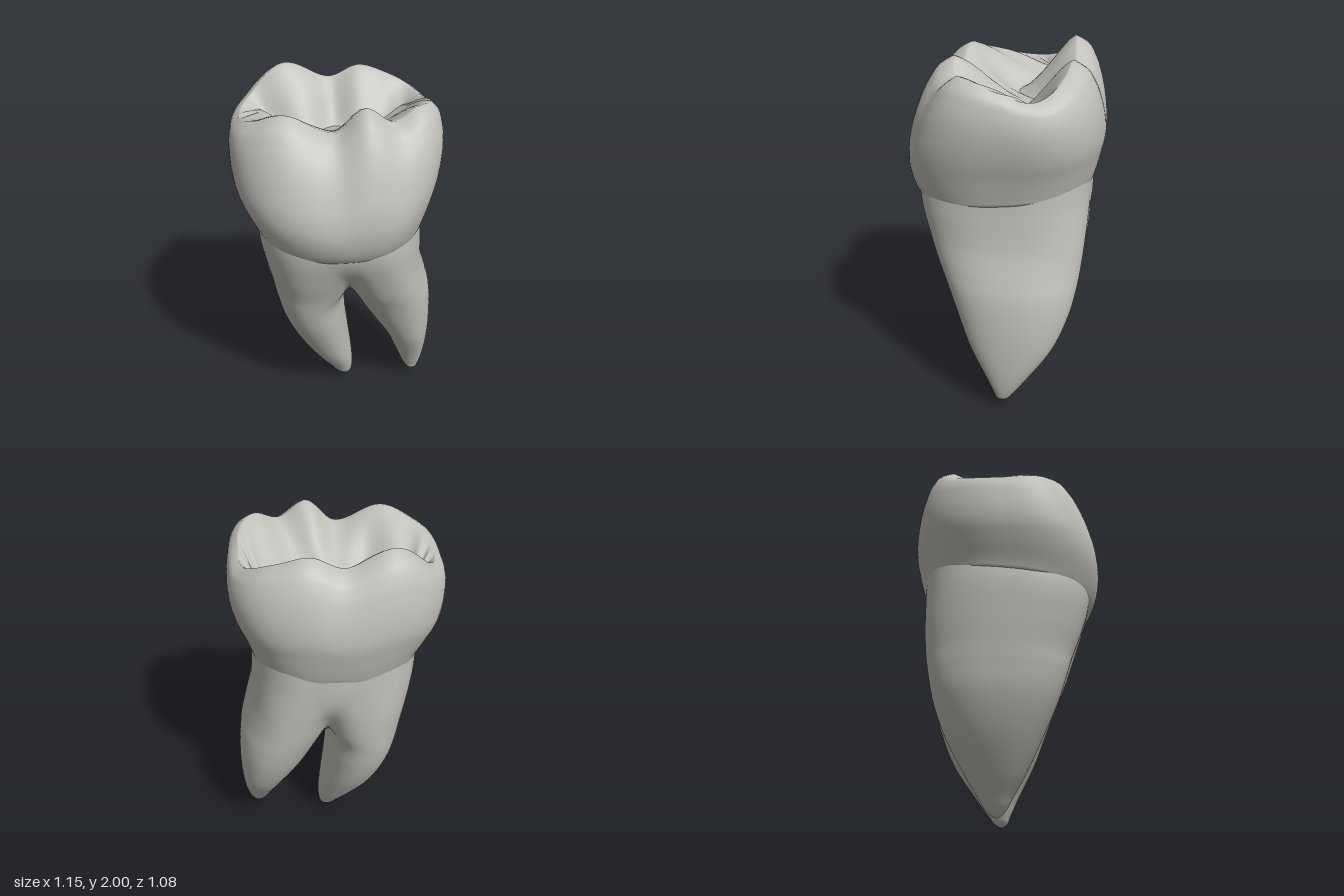
import * as THREE from 'three';

const SIDES = 112;

// Smooth spline through rows of [key, ...values]
function spline(rows) {
  const keys = rows.map((r) => r[0]);
  const values = rows.flatMap((r) => r.slice(1));
  const curve = new THREE.CubicInterpolant(keys, values, rows[0].length - 1);
  return (t) => Array.from(curve.evaluate(t));
}

// Closed rings of points, stacked from the bottom up, joined into one skin
function loft(rings) {
  const index = [];
  for (let j = 0; j < rings.length - 1; j++) {
    for (let i = 0; i < SIDES; i++) {
      const n = (i + 1) % SIDES;
      const a = j * SIDES + i, b = a + SIDES, c = j * SIDES + n, d = c + SIDES;
      index.push(a, b, c, b, d, c);
    }
  }
  const geometry = new THREE.BufferGeometry();
  geometry.setAttribute('position', new THREE.Float32BufferAttribute(rings.flat(2), 3));
  geometry.setIndex(index);
  geometry.computeVertexNormals();
  return geometry;
}

const ring = (fn) => Array.from({ length: SIDES }, (_, i) => fn((i / SIDES) * Math.PI * 2));
const roundedNorm = (u, v, n) => (Math.abs(u) ** n + Math.abs(v) ** n) ** (1 / n);

// Point on a rounded-square outline given by its four extents
function outline([x0, x1, z0, z1], angle, n) {
  const u = Math.cos(angle), v = Math.sin(angle);
  const r = 1 / roundedNorm(u, v, n);
  return [(x0 + x1) / 2 + ((x1 - x0) / 2) * u * r, (z0 + z1) / 2 + ((z1 - z0) / 2) * v * r];
}

// Crown wall: height fraction, then x and z extents
const wall = spline([
  [0, -0.452, 0.465, -0.475, 0.472],
  [0.06, -0.465, 0.475, -0.49, 0.5],
  [0.25, -0.52, 0.51, -0.522, 0.54],
  [0.4, -0.555, 0.54, -0.54, 0.535],
  [0.55, -0.572, 0.56, -0.535, 0.505],
  [0.72, -0.578, 0.568, -0.51, 0.455],
  [0.85, -0.575, 0.558, -0.475, 0.4],
  [0.95, -0.555, 0.535, -0.425, 0.34],
  [1, -0.52, 0.5, -0.36, 0.275],
]);

// Cusps and notches of the rim: angle in degrees (90 is the front), height
const rim = spline([
  [-27, 1.85], [8, 1.9], [28, 1.935], [44, 1.945], [59, 1.89], [75, 1.975], [91, 1.85],
  [119, 1.94], [140, 1.88], [180, 1.82], [215, 1.85], [241, 2.0], [269, 1.91],
  [287, 1.975], [305, 1.93], [333, 1.85], [368, 1.9],
]);

// Winding central groove: x, then z
const groove = spline([
  [-0.48, -0.25], [-0.3, -0.15], [-0.16, -0.04], [0, -0.165], [0.15, -0.08], [0.38, -0.24], [0.48, -0.25],
]);

function crownGeometry() {
  const rings = [];
  const neckHeight = (x, z) => 1.235 - 0.1 * z + 0.15 * x * x;
  const rimHeight = (angle) => rim(THREE.MathUtils.radToDeg(angle))[0];
  // underside tucked in around the neck
  rings.push(ring((angle) => {
    const [x, z] = outline(wall(0), angle, 2.5);
    return [x * 0.94, neckHeight(x, z) - 0.005, z * 0.94];
  }));
  // outer wall
  for (let j = 0; j <= 36; j++) {
    const t = j / 36;
    const extents = wall(t);
    rings.push(ring((angle) => {
      const [x, z] = outline(extents, angle, 2.5 + 0.4 * t);
      return [x, THREE.MathUtils.lerp(neckHeight(x, z), rimHeight(angle), t), z];
    }));
  }
  // chewing surface, falling from the rim to the groove
  for (let j = 1; j <= 24; j++) {
    const s = 1 - j / 24;
    rings.push(ring((angle) => {
      const [x, z] = outline(wall(1), angle, 2.9);
      const gx = x * 0.78;
      const floor = 1.69 + 0.55 * gx * gx;
      const rise = 0.5 * s + 0.5 * s * s * (3 - 2 * s);
      const ridge = 0.008 * Math.cos(angle * 14) * Math.sin(Math.PI * s);
      return [
        THREE.MathUtils.lerp(gx, x, s),
        THREE.MathUtils.lerp(floor, rimHeight(angle), rise) + ridge,
        THREE.MathUtils.lerp(groove(gx)[0], z, s),
      ];
    }));
  }
  return loft(rings);
}

// Roots: height, then x and z extents
const rightRows = [
  [0, 0.06, 0.06, -0.055, -0.055],
  [0.015, 0.033, 0.085, -0.085, -0.03],
  [0.04, 0.005, 0.098, -0.115, -0.005],
  [0.1, -0.04, 0.106, -0.155, 0.03],
  [0.2, -0.115, 0.1, -0.22, 0.09],
  [0.4, -0.24, 0.075, -0.335, 0.19],
  [0.6, -0.328, 0.052, -0.41, 0.28],
  [0.75, -0.365, 0.045, -0.44, 0.33],
  [0.85, -0.385, 0.09, -0.455, 0.36],
  [1.0, -0.415, 0.15, -0.468, 0.415],
  [1.2, -0.447, 0.28, -0.474, 0.472],
  [1.35, -0.452, 0.3, -0.474, 0.475],
];
const leftRows = [
  [0.045, 0.49, 0.49, -0.03, -0.03],
  [0.06, 0.46, 0.512, -0.06, 0],
  [0.1, 0.43, 0.532, -0.095, 0.02],
  [0.2, 0.385, 0.556, -0.17, 0.065],
  [0.4, 0.295, 0.574, -0.31, 0.165],
  [0.6, 0.17, 0.572, -0.395, 0.245],
  [0.75, 0.085, 0.555, -0.43, 0.305],
  [0.85, 0.03, 0.528, -0.445, 0.35],
  [1.0, -0.04, 0.488, -0.46, 0.405],
  [1.2, -0.22, 0.468, -0.473, 0.468],
  [1.35, -0.25, 0.462, -0.473, 0.47],
];
const rootSplines = [spline(rightRows), spline(leftRows)];

// Cross-section of both roots at one height, blended where they meet
function sectionField(y) {
  const n = 2.25 + 0.25 * THREE.MathUtils.smoothstep(y, 0.8, 1.2);
  const sections = rootSplines.map((s) => {
    const [x0, x1, z0, z1] = s(y);
    return {
      cx: (x0 + x1) / 2, cz: (z0 + z1) / 2,
      ax: Math.max((x1 - x0) / 2, 1e-4), az: Math.max((z1 - z0) / 2, 1e-4),
    };
  });
  const field = (x, z) => {
    const [a, b] = sections.map(({ cx, cz, ax, az }) =>
      (roundedNorm((x - cx) / ax, (z - cz) / az, n) - 1) * Math.min(ax, az));
    const k = 0.05;
    const h = Math.max(k - Math.abs(a - b), 0) / k;
    return Math.min(a, b) - (h * h * k) / 4;
  };
  return { sections, field };
}

// One root; above the fork it stops just past the plane shared with the other
function rootGeometry(which, tip) {
  const side = which === 0 ? 1 : -1;
  const rings = [], normals = [];
  const top = 1.35, steps = 130, e = 0.004;
  for (let j = 0; j <= steps; j++) {
    const y = tip + (top - tip) * (j / steps) ** 1.4;
    const { sections, field } = sectionField(y);
    const above = sectionField(y + e).field, below = sectionField(y - e).field;
    const { cx, cz, ax, az } = sections[which];
    rings.push(ring((angle) => {
      const dx = ax * Math.cos(angle), dz = az * Math.sin(angle);
      const inside = (r) => {
        const x = cx + dx * r;
        return field(x, cz + dz * r) < 0 && (y < 0.7 || side * (x - 0.06) < 0.015);
      };
      let lo = 0;
      while (lo < 1.6 && inside(lo + 0.03)) lo += 0.03;
      let hi = lo + 0.03;
      for (let k = 0; k < 12; k++) {
        const mid = (lo + hi) / 2;
        if (inside(mid)) lo = mid; else hi = mid;
      }
      const x = cx + dx * lo, z = cz + dz * lo;
      const normal = j === 0 ? new THREE.Vector3(0, -1, 0) : new THREE.Vector3(
        field(x + e, z) - field(x - e, z),
        above(x, z) - below(x, z),
        field(x, z + e) - field(x, z - e),
      ).normalize();
      normals.push(...normal.toArray());
      return [x, y, z];
    }));
  }
  const geometry = loft(rings);
  geometry.setAttribute('normal', new THREE.Float32BufferAttribute(normals, 3));
  return geometry;
}

export function createModel() {
  const enamel = new THREE.MeshStandardMaterial({ color: 0xc2c0ba });
  enamel.name = 'warm grey enamel';
  const model = new THREE.Group();
  model.name = 'molar';
  const add = (name, geometry) => {
    const mesh = new THREE.Mesh(geometry, enamel);
    mesh.name = name;
    model.add(mesh);
  };
  add('crown', crownGeometry());
  add('rightRoot', rootGeometry(0, 0));
  add('leftRoot', rootGeometry(1, 0.045));
  return model;
}
